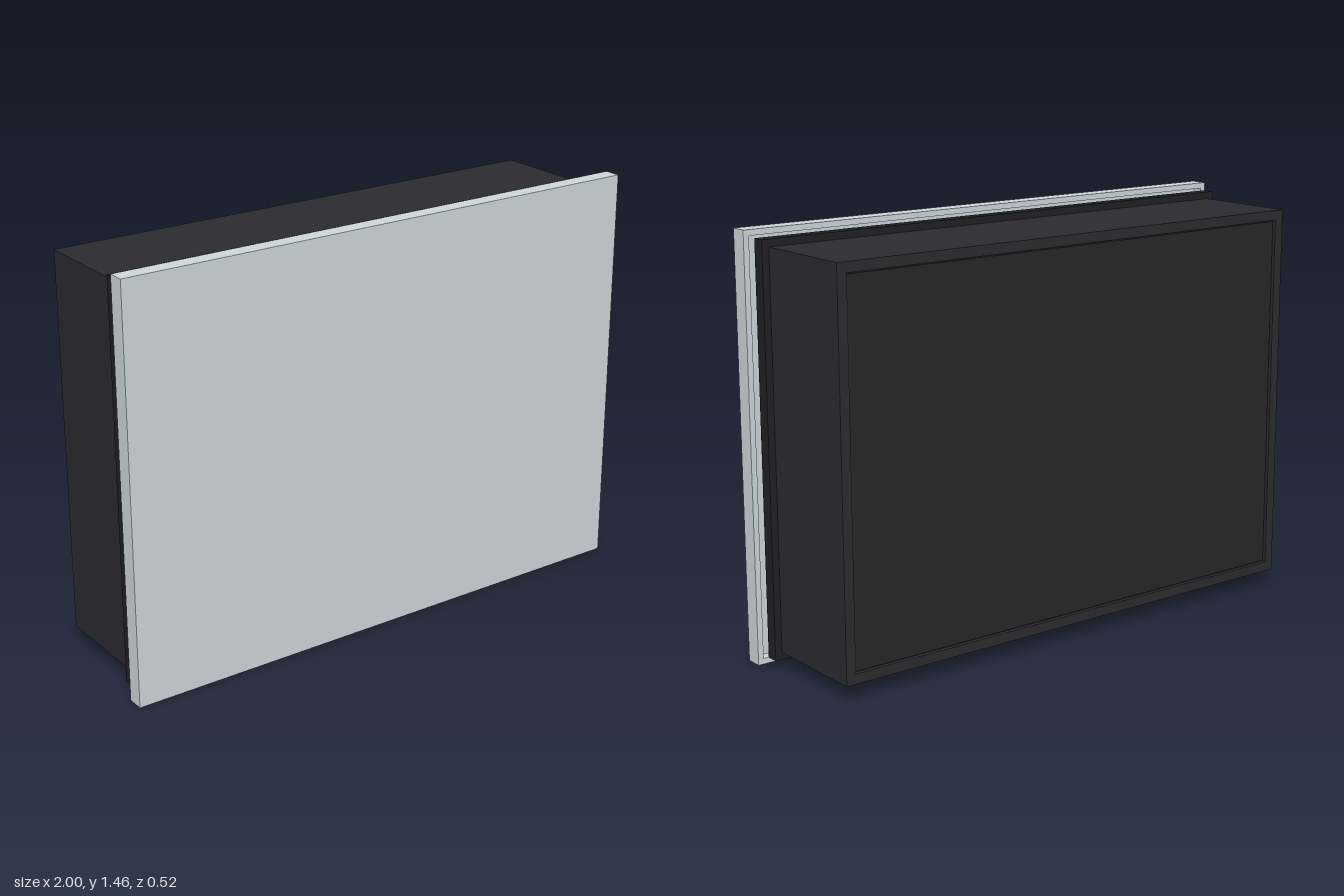
import * as THREE from 'three';

const mat = (color) => new THREE.MeshStandardMaterial({ color });
const CASE = mat(0x2b2a2e), TRIM = mat(0x202024), BACK = mat(0x262628), VENT = mat(0x141416), COVER = mat(0xccd5d8);

// Box given by its minimum and maximum corners
function box(parent, name, material, [x0, y0, z0], [x1, y1, z1]) {
  const mesh = new THREE.Mesh(new THREE.BoxGeometry(x1 - x0, y1 - y0, z1 - z0), material);
  mesh.position.set((x0 + x1) / 2, (y0 + y1) / 2, (z0 + z1) / 2);
  mesh.name = name;
  parent.add(mesh);
}

// Four bars around a rectangle: full-width top and bottom, sides between them
function rim(parent, name, material, halfW, y0, y1, z0, z1, t) {
  const group = new THREE.Group();
  group.name = name;
  box(group, 'bottomBar', material, [-halfW, y0, z0], [halfW, y0 + t, z1]);
  box(group, 'topBar', material, [-halfW, y1 - t, z0], [halfW, y1, z1]);
  box(group, 'rightBar', material, [-halfW, y0 + t, z0], [-halfW + t, y1 - t, z1]);
  box(group, 'leftBar', material, [halfW - t, y0 + t, z0], [halfW, y1 - t, z1]);
  parent.add(group);
}

export function createModel() {
  const model = new THREE.Group();
  model.name = 'wallCabinet';

  // Main case with a slightly recessed back panel
  box(model, 'caseBody', CASE, [-0.95, 0.055, -0.245], [0.95, 1.41, 0.135]);
  rim(model, 'backRim', CASE, 0.95, 0.055, 1.41, -0.26, -0.245, 0.035);
  box(model, 'backPanel', BACK, [-0.91, 0.095, -0.252], [0.91, 1.37, -0.244]);

  // Front flange around the case and the dark face inside it
  rim(model, 'frontFlange', TRIM, 0.975, 0.03, 1.435, 0.13, 0.175, 0.05);
  box(model, 'innerFace', TRIM, [-0.925, 0.08, 0.13], [0.925, 1.385, 0.16]);

  // Cover tray standing just ahead of the flange
  rim(model, 'coverRim', COVER, 1, 0, 1.46, 0.2, 0.26, 0.02);
  box(model, 'coverSheet', COVER, [-0.98, 0.02, 0.235], [0.98, 1.44, 0.26]);

  // Row of ventilation ribs under the case
  const vents = new THREE.Group();
  vents.name = 'vents';
  for (let i = -6; i <= 6; i++) {
    const x = i * 0.125;
    box(vents, 'ventRib', VENT, [x - 0.015, 0.043, -0.19], [x + 0.015, 0.06, 0.04]);
  }
  model.add(vents);

  return model;
}
